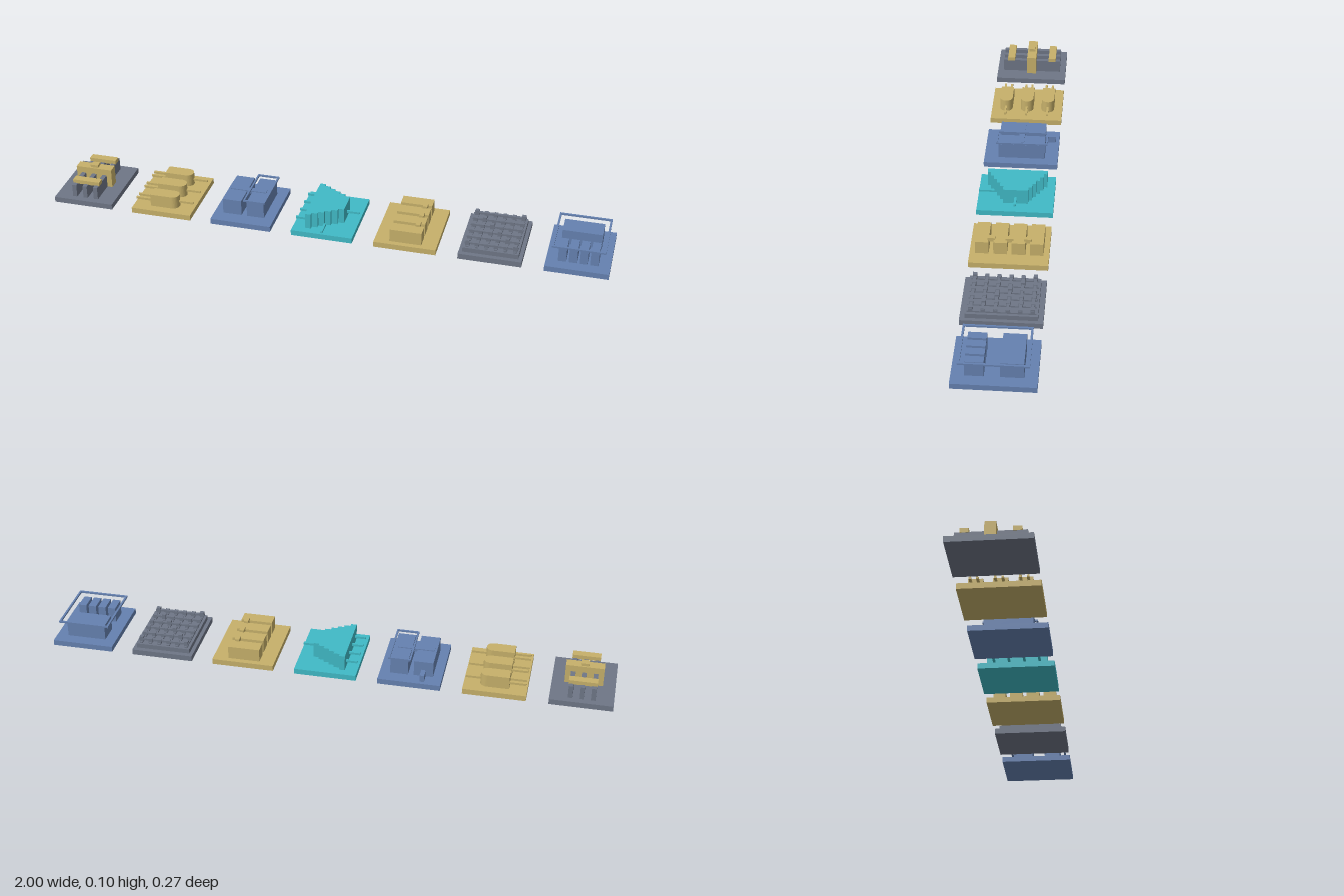
import * as THREE from 'three';

const mat = (name, color) => {
  const m = new THREE.MeshStandardMaterial({ color });
  m.name = name;
  return m;
};

export function createModel() {
  const gray = mat('slate gray', 0x6e7686);
  const gold = mat('sand gold', 0xc6b06a);
  const blue = mat('steel blue', 0x6581b0);
  const cyan = mat('teal cyan', 0x40bac6);
  const root = new THREE.Group();
  root.name = 'tileRow';

  const add = (parent, name, geometry, material) => {
    const m = new THREE.Mesh(geometry, material);
    m.name = name;
    parent.add(m);
    return m;
  };

  // Box given by its x, y and z ranges
  const box = (parent, name, material, x0, x1, y0, y1, z0, z1) => {
    const m = add(parent, name, new THREE.BoxGeometry(x1 - x0, y1 - y0, z1 - z0), material);
    m.position.set((x0 + x1) / 2, (y0 + y1) / 2, (z0 + z1) / 2);
    return m;
  };

  // Each tile is a group with a flat square base
  const tile = (name, index, material) => {
    const g = new THREE.Group();
    g.name = name;
    g.position.x = (index - 3) * 0.2967;
    root.add(g);
    box(g, 'base', material, -0.11, 0.11, 0, 0.02, -0.135, 0.135);
    return g;
  };

  // Thin open rectangle lying flat
  const frame = (parent, material, x0, x1, z0, z1, w) => {
    const y0 = 0.082, y1 = 0.088;
    for (const z of [z0, z1 - w]) box(parent, 'frameRail', material, x0, x1, y0, y1, z, z + w);
    for (const x of [x0, x1 - w]) box(parent, 'frameSide', material, x, x + w, y0, y1, z0 + w, z1 - w);
  };

  // Tile 1: three fins under a gate and two contact bars
  const fins = tile('finTile', 0, gray);
  for (const x of [-0.04, 0, 0.04]) box(fins, 'fin', gray, x - 0.008, x + 0.008, 0.02, 0.067, -0.112, 0.112);
  box(fins, 'gate', gold, -0.067, 0.067, 0.02, 0.09, -0.018, 0.018);
  box(fins, 'gateContact', gold, -0.014, 0.014, 0.09, 0.1, -0.012, 0.012);
  for (const z of [-0.081, 0.081]) box(fins, 'contactBar', gold, -0.05, 0.05, 0.065, 0.08, z - 0.014, z + 0.014);

  // Tile 2: three round-nosed blocks with pins
  const gates = tile('gateTile', 1, gold);
  const nose = new THREE.Shape();
  nose.moveTo(-0.048, -0.024);
  nose.lineTo(0.03, -0.024);
  nose.absarc(0.03, 0, 0.024, -Math.PI / 2, Math.PI / 2, false);
  nose.lineTo(-0.048, 0.024);
  nose.closePath();
  const noseGeo = new THREE.ExtrudeGeometry(nose, { depth: 0.046, bevelEnabled: false, curveSegments: 8 });
  noseGeo.rotateX(-Math.PI / 2);
  for (const z of [-0.08, 0, 0.08]) {
    add(gates, 'gateBody', noseGeo, gold).position.set(0, 0.02, z);
    for (const s of [-0.012, 0.012]) box(gates, 'inputPin', gold, -0.105, -0.046, 0.036, 0.044, z + s - 0.004, z + s + 0.004);
    box(gates, 'outputPin', gold, 0.05, 0.105, 0.036, 0.044, z - 0.004, z + 0.004);
  }

  // Tile 3: paired blocks, cross bar, stub and a small frame
  const latch = tile('latchTile', 2, blue);
  box(latch, 'leftBlock', blue, -0.078, -0.01, 0.02, 0.077, -0.085, 0.083);
  box(latch, 'rightBlock', blue, 0.01, 0.073, 0.02, 0.077, -0.087, 0.083);
  box(latch, 'crossBar', blue, -0.07, 0.06, 0.068, 0.08, -0.01, 0.01);
  box(latch, 'stub', blue, -0.052, -0.036, 0.02, 0.045, -0.122, -0.085);
  frame(latch, blue, 0, 0.08, -0.097, 0.092, 0.006);

  // Tile 4: stepped wedge with pins
  const mux = tile('wedgeTile', 3, cyan);
  const steps = 6, stepW = 0.126 / steps;
  for (let i = 0; i < steps; i++) {
    const x = -0.066 + i * stepW, h = 0.107 - i * 0.0125;
    box(mux, 'wedgeStep', cyan, x, x + stepW, 0.02, 0.077, -h, h);
  }
  for (const z of [-0.08, -0.027, 0.027, 0.08]) box(mux, 'inputPin', cyan, -0.105, -0.064, 0.039, 0.047, z - 0.004, z + 0.004);
  box(mux, 'outputPin', cyan, 0.058, 0.105, 0.039, 0.047, -0.004, 0.004);
  box(mux, 'selectPin', cyan, -0.004, 0.004, 0.025, 0.032, 0.08, 0.135);

  // Tile 5: four blocks joined by small links
  const chain = tile('chainTile', 4, gold);
  for (let i = 0; i < 4; i++) {
    const z = (i - 1.5) * 0.062;
    box(chain, 'block', gold, -0.057, 0.056, 0.02, 0.067, z - 0.023, z + 0.023);
    if (i < 3) box(chain, 'link', gold, 0.026, 0.042, 0.06, 0.075, z + 0.018, z + 0.044);
  }

  // Tile 6: crossing bars with a stud at every crossing
  const grid = tile('gridTile', 5, gray);
  box(grid, 'plate', gray, -0.097, 0.097, 0.02, 0.037, -0.118, 0.118);
  const n = 6;
  for (let i = 0; i < n; i++) {
    const x = (i - 2.5) * 0.033, z = (i - 2.5) * 0.04;
    box(grid, 'lowerBar', gray, x - 0.005, x + 0.005, 0.036, 0.042, -0.112, 0.112);
    box(grid, 'upperBar', gray, -0.092, 0.092, 0.046, 0.053, z - 0.005, z + 0.005);
    for (let j = 0; j < n; j++) {
      const cz = (j - 2.5) * 0.04;
      const top = (i * 2 + j * 3) % 5 === 0 ? 0.06 : 0.055;
      box(grid, 'stud', gray, x - 0.007, x + 0.007, 0.04, top, cz - 0.007, cz + 0.007);
    }
  }

  // Tile 7: one large block, four small ones and a large frame
  const bank = tile('bankTile', 6, blue);
  box(bank, 'largeBlock', blue, -0.071, 0.069, 0.02, 0.076, -0.092, -0.018);
  for (let i = 0; i < 4; i++) {
    const x = (i - 1.5) * 0.037;
    box(bank, 'smallBlock', blue, x - 0.014, x + 0.014, 0.02, 0.076, 0.032, 0.092);
  }
  frame(bank, blue, -0.092, 0.092, -0.111, 0.111, 0.007);

  return root;
}
